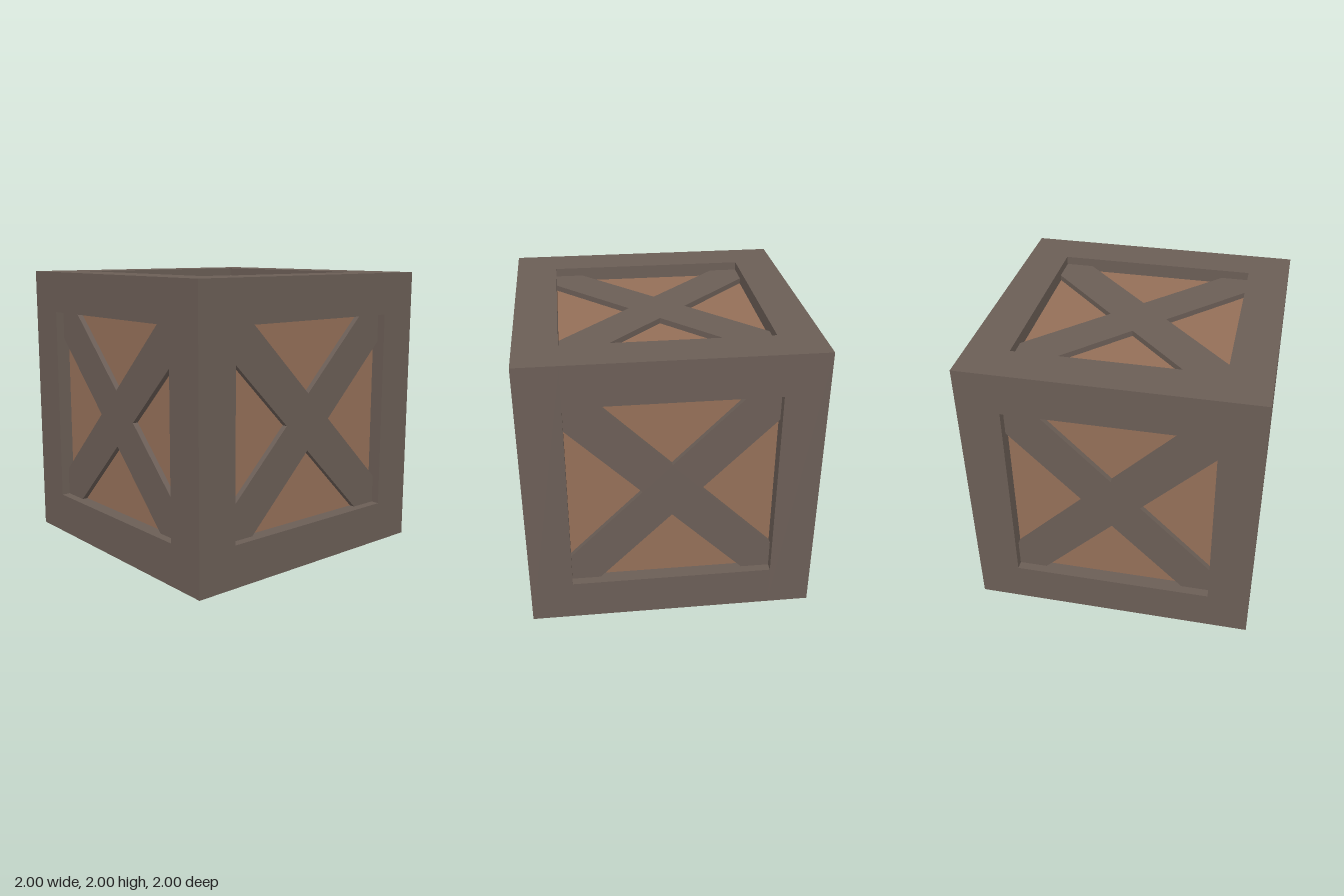
import * as THREE from 'three';

export function createModel() {
  const crate = new THREE.Group();
  crate.name = 'crate';
  const frameWood = new THREE.MeshStandardMaterial({ color: 0x6b5e56, name: 'darkWood' });
  const panelWood = new THREE.MeshStandardMaterial({ color: 0x946f58, name: 'lightWood' });

  const OPEN = 0.705;            // half width of the opening in each face
  const BEAM = 1 - OPEN;         // beam thickness
  const MID = (1 + OPEN) / 2;    // beam centre line
  const PANEL = 0.9, BRACE = 0.94, NOTCH = 0.2;

  const add = (geo, mat, name, x = 0, y = 0, z = 0) => {
    const mesh = new THREE.Mesh(geo, mat);
    mesh.name = name;
    mesh.position.set(x, y + 1, z);
    crate.add(mesh);
    return mesh;
  };

  // Inner box: its six sides are the sunken panels
  add(new THREE.BoxGeometry(PANEL * 2, PANEL * 2, PANEL * 2), panelWood, 'panels');

  // Corner posts, with rails fitted between them
  const post = new THREE.BoxGeometry(BEAM, 2, BEAM);
  const railX = new THREE.BoxGeometry(OPEN * 2, BEAM, BEAM);
  const railZ = new THREE.BoxGeometry(BEAM, BEAM, OPEN * 2);
  for (const a of [-MID, MID]) {
    for (const b of [-MID, MID]) {
      add(post, frameWood, 'cornerPost', a, 0, b);
      add(railX, frameWood, 'crossRail', 0, a, b);
      add(railZ, frameWood, 'sideRail', a, b, 0);
    }
  }

  // Diagonal cross, cut square to fit the opening
  const points = [];
  for (let i = 0; i < 4; i++) {
    for (const [x, y] of [[NOTCH, 0], [OPEN, OPEN - NOTCH], [OPEN, OPEN]]) {
      points.push(new THREE.Vector2(x, y).rotateAround(new THREE.Vector2(), i * Math.PI / 2));
    }
    points.push(new THREE.Vector2(OPEN - NOTCH, OPEN).rotateAround(new THREE.Vector2(), i * Math.PI / 2));
  }
  const cross = new THREE.ExtrudeGeometry(new THREE.Shape(points), {
    depth: BRACE - PANEL + 0.02, bevelEnabled: false,
  });
  cross.translate(0, 0, PANEL - 0.02);

  // One cross on each of the six faces
  const q = Math.PI / 2;
  for (const [rx, ry] of [[0, 0], [0, q], [0, 2 * q], [0, -q], [q, 0], [-q, 0]]) {
    add(cross, frameWood, 'crossBrace').rotation.set(rx, ry, 0);
  }
  return crate;
}
